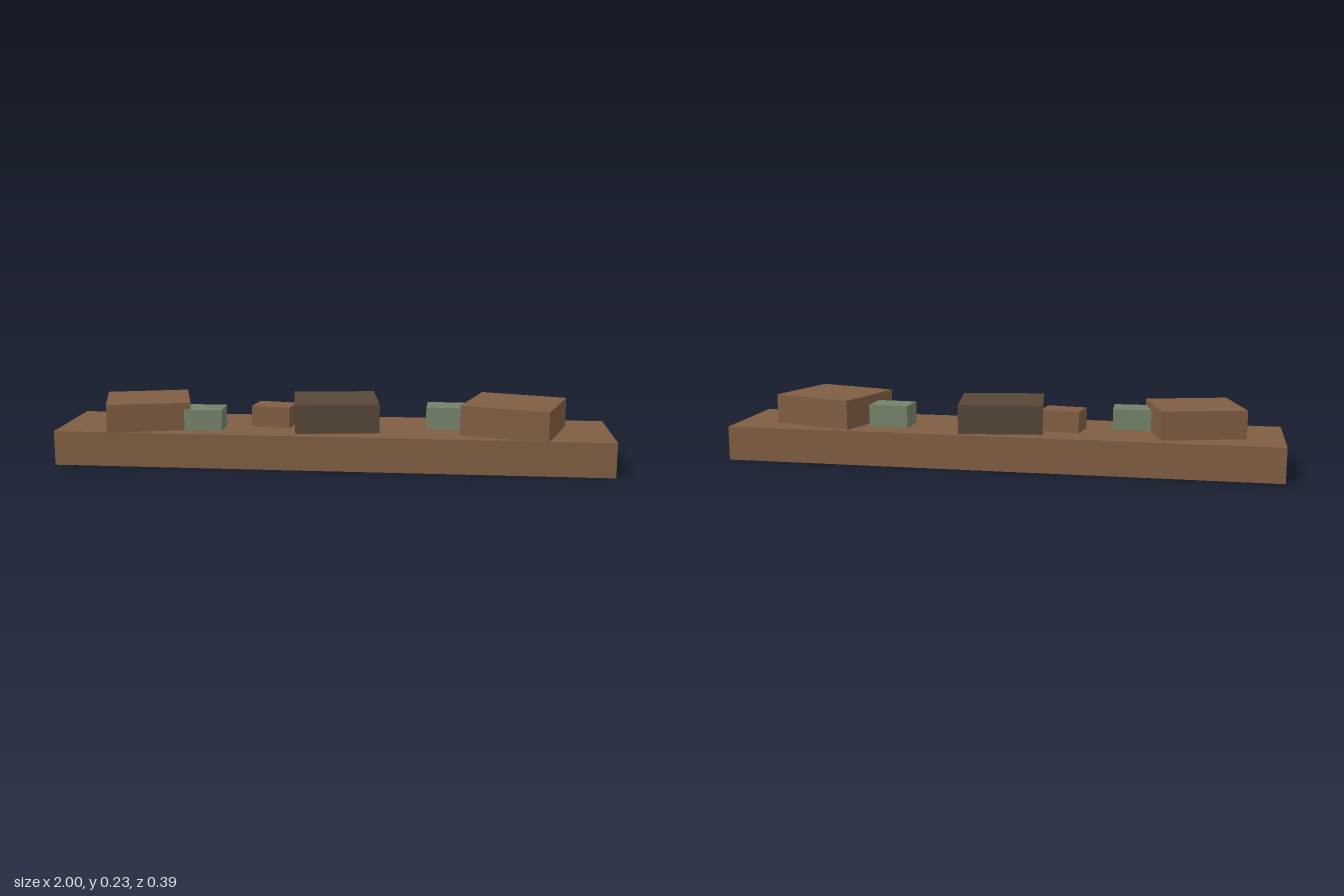
import * as THREE from 'three';

const material = (name, color) => {
  const m = new THREE.MeshStandardMaterial({ color, side: THREE.DoubleSide });
  m.name = name;
  return m;
};

// Box standing on y = 0 with its underside left open
function openBox(w, h, d) {
  const g = new THREE.BoxGeometry(w, h, d);
  const index = Array.from(g.index.array);
  index.splice(18, 6); // downward face
  g.setIndex(index);
  g.clearGroups();
  g.translate(0, h / 2, 0);
  return g;
}

export function createModel() {
  const group = new THREE.Group();
  group.name = 'plankWithBlocks';

  const brown = material('brown', 0x7f5d42);
  const darkBrown = material('dark brown', 0x574737);
  const green = material('grey green', 0x75826a);

  const add = (name, mat, [w, h, d], [x, y, z], degrees = 0) => {
    const mesh = new THREE.Mesh(openBox(w, h, d), mat);
    mesh.name = name;
    mesh.position.set(x, y, z);
    mesh.rotation.y = THREE.MathUtils.degToRad(degrees);
    group.add(mesh);
  };

  // Hollow plank
  const top = 0.125;
  add('plank', brown, [2, top, 0.375], [0, 0, -0.008]);

  // Large blocks, each turned a little
  add('largeBlockRight', brown, [0.3, 0.101, 0.275], [-0.69, top, 0.017], 15);
  add('largeBlockMiddle', darkBrown, [0.302, 0.104, 0.275], [0.006, top, -0.016], 8);
  add('largeBlockLeft', brown, [0.317, 0.107, 0.294], [0.655, top, 0.009], -17);

  // Small blocks between them
  add('smallGreenBlockRight', green, [0.138, 0.076, 0.11], [-0.465, top, 0.063], 1.5);
  add('smallBrownBlock', brown, [0.145, 0.076, 0.106], [-0.221, top, -0.018], -9);
  add('smallGreenBlockLeft', green, [0.146, 0.08, 0.111], [0.414, top, -0.042], -2);

  return group;
}
